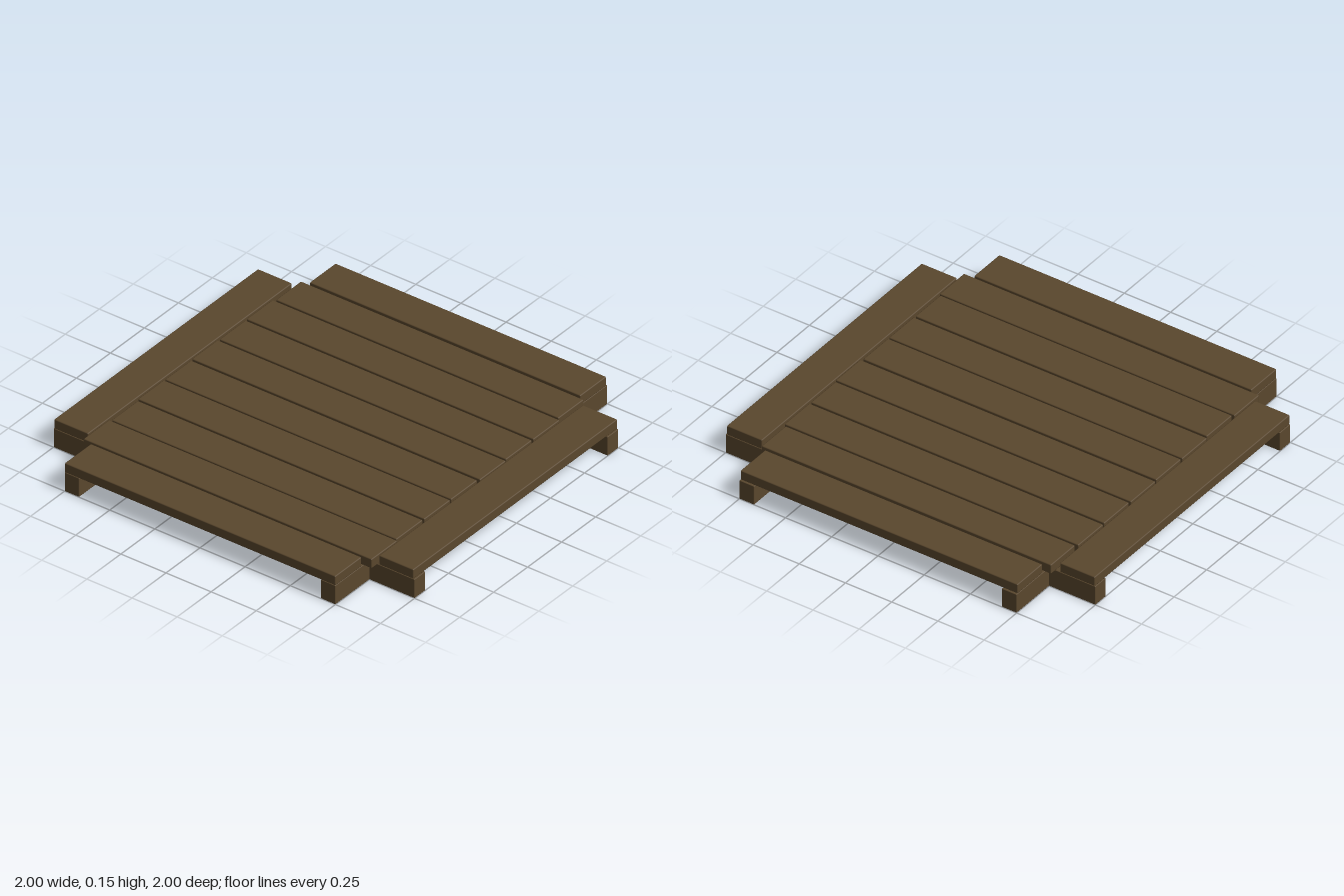
import * as THREE from 'three';
import { RoundedBoxGeometry } from 'three/addons/geometries/RoundedBoxGeometry.js';

export function createModel() {
  const group = new THREE.Group();
  group.name = 'woodenPlatform';
  const wood = new THREE.MeshStandardMaterial({ color: 0x5a472d });
  wood.name = 'dark brown wood';

  // Slightly worn board spanning the given ranges
  function board(name, x0, x1, y0, y1, z0, z1, radius = 0.005) {
    const geometry = new RoundedBoxGeometry(x1 - x0, y1 - y0, z1 - z0, 1, radius);
    const mesh = new THREE.Mesh(geometry, wood);
    mesh.position.set((x0 + x1) / 2, (y0 + y1) / 2, (z0 + z1) / 2);
    mesh.name = name;
    group.add(mesh);
  }

  // Four crossing support beams
  for (const [a, b] of [[-0.75, -0.67], [0.67, 0.75]]) {
    board('crossBeam', -1, 1, 0, 0.1, a, b, 0.003);
    board('lengthBeam', a, b, 0, 0.1, -1, 1, 0.003);
  }

  // Eight deck planks: x start, x end, z start, z end
  const planks = [
    [-0.795, -0.607, -0.8, 0.797], [-0.6, -0.408, -0.79, 0.788],
    [-0.397, -0.208, -0.798, 0.79], [-0.2, -0.01, -0.796, 0.79],
    [0.002, 0.19, -0.8, 0.798], [0.2, 0.39, -0.796, 0.792],
    [0.401, 0.592, -0.798, 0.793], [0.602, 0.786, -0.786, 0.78],
  ];
  for (const [x0, x1, z0, z1] of planks) board('deckPlank', x0, x1, 0.1, 0.15, z0, z1);

  // Border planks on the four sides
  board('rightEdgePlank', -1, -0.807, 0.1, 0.15, -0.75, 0.75);
  board('leftEdgePlank', 0.802, 0.992, 0.1, 0.15, -0.75, 0.75);
  board('backEdgePlank', -0.75, 0.75, 0.1, 0.15, -0.997, -0.808);
  board('frontEdgePlank', -0.75, 0.75, 0.1, 0.15, 0.803, 0.994);

  return group;
}
